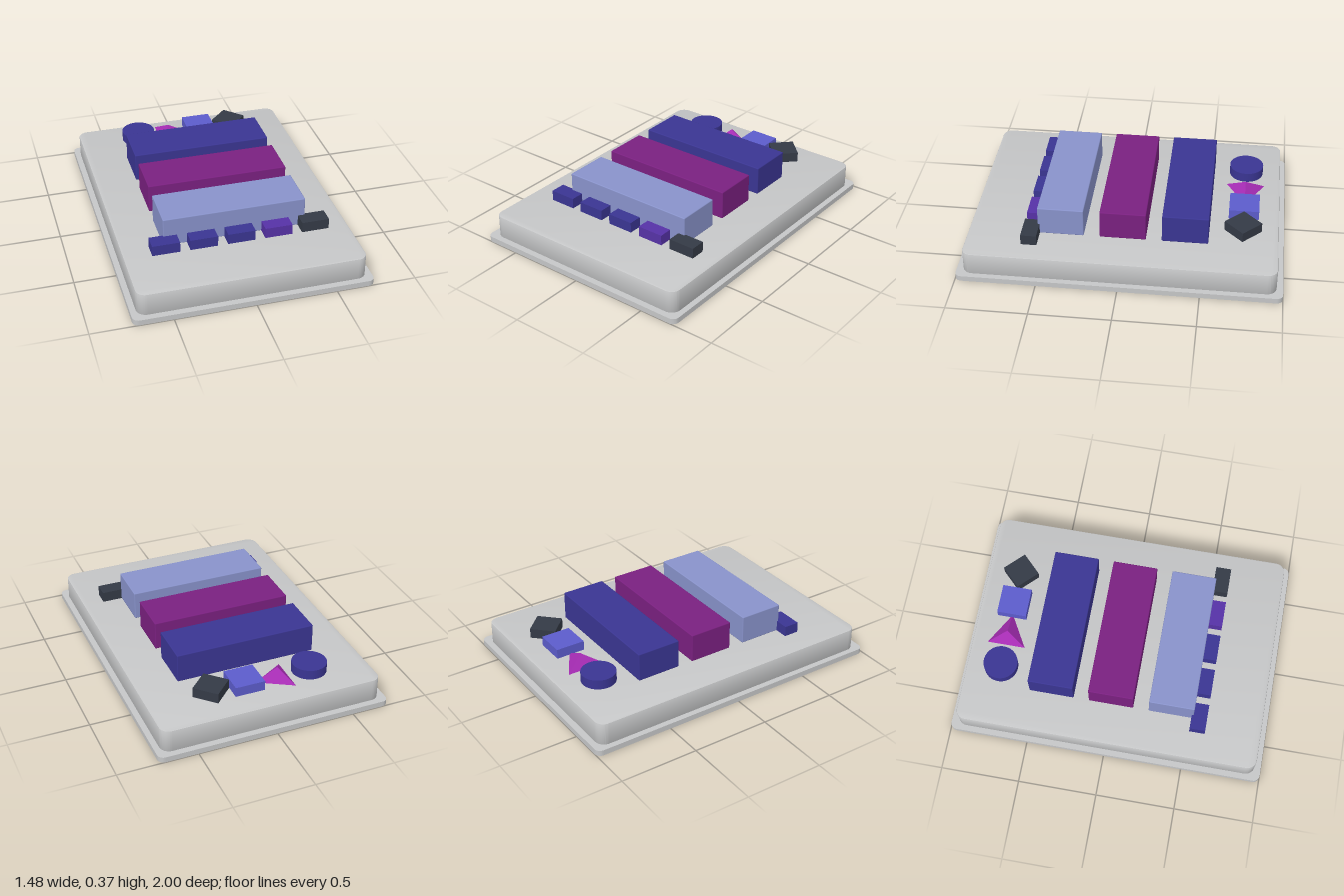
import * as THREE from 'three';
import { toCreasedNormals } from 'three/addons/utils/BufferGeometryUtils.js';
import { RoundedBoxGeometry } from 'three/addons/geometries/RoundedBoxGeometry.js';

const mat = (name, color) => {
  const m = new THREE.MeshStandardMaterial({ color });
  m.name = name;
  return m;
};

// Horizontal plate with rounded corners, from y0 to y1, with an optional small bevel on its edges
function roundedPlate(hx, hz, r, y0, y1, bevel = 0) {
  const x = hx - bevel, z = hz - bevel;
  const s = new THREE.Shape();
  s.moveTo(-x + r, -z);
  s.lineTo(x - r, -z);
  s.absarc(x - r, -z + r, r, -Math.PI / 2, 0);
  s.absarc(x - r, z - r, r, 0, Math.PI / 2);
  s.absarc(-x + r, z - r, r, Math.PI / 2, Math.PI);
  s.absarc(-x + r, -z + r, r, Math.PI, Math.PI * 1.5);
  const g = new THREE.ExtrudeGeometry(s, {
    depth: y1 - y0 - 2 * bevel, curveSegments: 8,
    bevelEnabled: bevel > 0, bevelSize: bevel, bevelThickness: bevel, bevelSegments: 2,
  });
  g.rotateX(-Math.PI / 2);
  g.translate(0, y0 + bevel, 0);
  return toCreasedNormals(g, 0.5);
}

export function createModel() {
  const group = new THREE.Group();
  const grey = mat('lightGrey', 0xc5c6c7);
  const navy = mat('indigo', 0x3a3592);
  const plum = mat('plum', 0x7a2080);
  const periwinkle = mat('periwinkle', 0x8892ca);
  const violet = mat('violet', 0x5632a6);
  const charcoal = mat('charcoal', 0x343a46);
  const blue = mat('blue', 0x5c5ccb);
  const magenta = mat('magenta', 0xa62cb4);

  const add = (name, geo, material, x = 0, y = 0, z = 0) => {
    const m = new THREE.Mesh(geo, material);
    m.name = name;
    m.position.set(x, y, z);
    group.add(m);
    return m;
  };

  // Base tray: flange and raised body
  add('baseFlange', roundedPlate(0.742, 1, 0.04, 0, 0.035), grey);
  add('baseBody', roundedPlate(0.706, 0.96, 0.055, 0.03, 0.178, 0.006), grey);

  // Three long blocks
  [['backBlock', navy, -0.387], ['middleBlock', plum, -0.003], ['frontBlock', periwinkle, 0.382]]
    .forEach(([name, m, z]) =>
      add(name, new RoundedBoxGeometry(0.896, 0.185, 0.286, 2, 0.006), m, 0, 0.276, z));

  // Row of five small keys along the front
  [navy, navy, navy, violet, charcoal].forEach((m, i) =>
    add('key' + (i + 1), new THREE.BoxGeometry(0.172, 0.067, 0.098), m, -0.45 + i * 0.235, 0.2185, 0.562));

  // Four shape pieces along the back
  const z = -0.737;
  add('roundPiece', new THREE.CylinderGeometry(0.108, 0.108, 0.062, 48), navy, -0.323, 0.236, z);
  const pyramid = new THREE.ConeGeometry(0.14, 0.075, 3).toNonIndexed();
  pyramid.rotateY(Math.PI / 2);
  pyramid.computeVertexNormals();
  add('pyramidPiece', pyramid, magenta, -0.11, 0.24, z);
  add('squarePiece', new THREE.BoxGeometry(0.188, 0.062, 0.188), blue, 0.104, 0.237, z);
  add('diamondPiece', new THREE.BoxGeometry(0.163, 0.064, 0.163), charcoal, 0.318, 0.239, z)
    .rotation.y = Math.PI / 4;

  return group;
}
